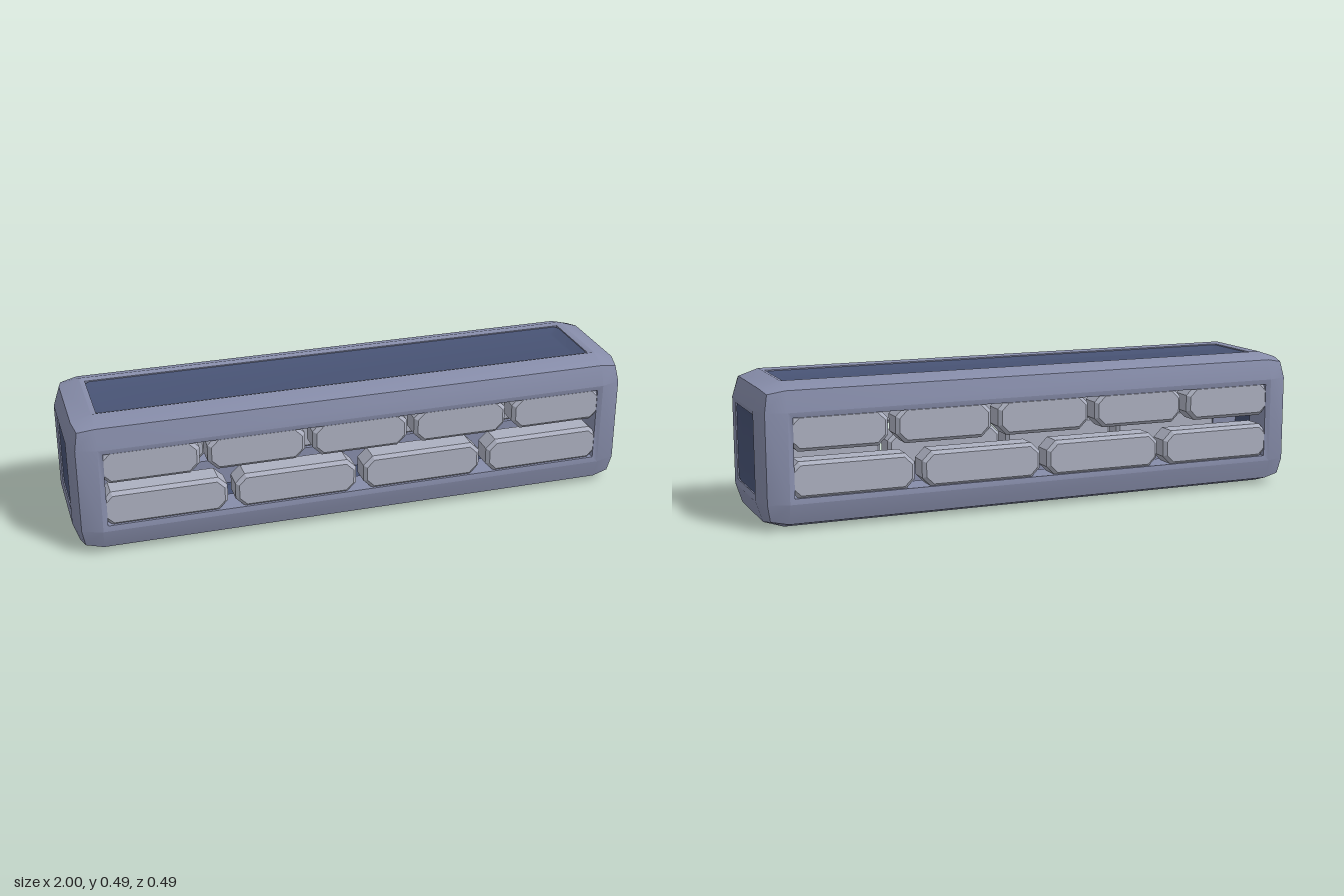
import * as THREE from 'three';
import { toCreasedNormals } from 'three/addons/utils/BufferGeometryUtils.js';

const HALF = [1, 0.245, 0.245]; // half extents of the block
const RIDGE = 0.093, EDGE = 0.023, CORNER = 0.034, OPENING = 0.111;
const LIP = 0.006; // depth of the window edge below the frame's crest

const frameMat = new THREE.MeshStandardMaterial({ color: 0x868ca9 });
frameMat.name = 'blue grey frame';
const panelMat = new THREE.MeshStandardMaterial({ color: 0x475273, side: THREE.DoubleSide });
panelMat.name = 'dark slate panel';
const brickMat = new THREE.MeshStandardMaterial({ color: 0xabafbf });
brickMat.name = 'pale grey brick';

// Collects polygons and turns each one towards a given direction
function makeSurface() {
  const pos = [];
  return {
    add(points, facing) {
      const [a, b, c] = points;
      const n = b.clone().sub(a).cross(c.clone().sub(a));
      const p = n.dot(facing) < 0 ? [...points].reverse() : points;
      for (let i = 1; i < p.length - 1; i++)
        for (const v of [p[0], p[i], p[i + 1]]) pos.push(v.x, v.y, v.z);
    },
    build(crease) {
      const g = new THREE.BufferGeometry();
      g.setAttribute('position', new THREE.Float32BufferAttribute(pos, 3));
      return toCreasedNormals(g, crease);
    },
  };
}

// Point on one side of the block: insets from the half extents along u, v and the side's axis
function sidePoint(axis, sign, su, sv, iu, iv, depth) {
  const u = (axis + 1) % 3, v = (axis + 2) % 3, p = [0, 0, 0];
  p[axis] = sign * (HALF[axis] - depth);
  p[u] = su * (HALF[u] - iu);
  p[v] = sv * (HALF[v] - iv);
  return new THREE.Vector3(...p);
}

function direction(axis, sign) {
  return new THREE.Vector3().setComponent(axis, sign);
}

// Softly bevelled open frame with a window in all six sides
function frameGeometry() {
  const s = makeSurface();
  for (let axis = 0; axis < 3; axis++) for (const sign of [1, -1]) {
    const out = direction(axis, sign), u = (axis + 1) % 3, v = (axis + 2) % 3;
    const P = (su, sv, iu, iv, d) => sidePoint(axis, sign, su, sv, iu, iv, d);
    // Corner patches
    for (const su of [1, -1]) for (const sv of [1, -1]) {
      s.add([P(su, sv, RIDGE, RIDGE, 0), P(su, sv, EDGE, RIDGE, EDGE),
        P(su, sv, CORNER, CORNER, CORNER), P(su, sv, RIDGE, EDGE, EDGE)], out);
    }
    // Outer slope, inner slope and window wall along each of the four beams
    for (const t of [1, -1]) for (const alongU of [true, false]) {
      const strip = (i0, j0, d0, i1, j1, d1, facing) => {
        const Q = (e, across, along, d) => alongU
          ? P(e, t, along, across, d) : P(t, e, across, along, d);
        s.add([Q(1, i0, j0, d0), Q(-1, i0, j0, d0), Q(-1, i1, j1, d1), Q(1, i1, j1, d1)], facing);
      };
      strip(EDGE, RIDGE, EDGE, RIDGE, RIDGE, 0, out);
      strip(RIDGE, RIDGE, 0, OPENING, OPENING, LIP, out);
      strip(OPENING, OPENING, LIP, OPENING, OPENING, OPENING, direction(alongU ? v : u, -t));
    }
  }
  return s.build(0.6);
}

// Very shallow dished panel with clipped corners, almost flush with its window
function panelGeometry(axis, sign) {
  const s = makeSurface(), out = direction(axis, sign);
  const loop = (inset, clip, depth) => {
    const pts = [];
    for (const [su, sv] of [[1, 1], [-1, 1], [-1, -1], [1, -1]]) {
      const a = sidePoint(axis, sign, su, sv, inset, inset + clip, depth);
      const b = sidePoint(axis, sign, su, sv, inset + clip, inset, depth);
      pts.push(...(su * sv > 0 ? [a, b] : [b, a]));
    }
    return pts;
  };
  const rim = loop(OPENING, 0.014, 0.01), floor = loop(OPENING + 0.035, 0.008, 0.022);
  for (let i = 0; i < 8; i++) {
    const j = (i + 1) % 8;
    s.add([rim[i], rim[j], floor[j], floor[i]], out);
  }
  s.add(floor, out);
  return s.build(0.8);
}

// Brick with clipped corners and bevelled front and back
function brickGeometry(width, height, depth) {
  const b = 0.012, w = width / 2 - b, h = height / 2 - b, c = 0.026;
  const shape = new THREE.Shape([
    [w - c, -h], [w, -h + c], [w, h - c], [w - c, h],
    [-w + c, h], [-w, h - c], [-w, -h + c], [-w + c, -h],
  ].map(([x, y]) => new THREE.Vector2(x, y)));
  const g = new THREE.ExtrudeGeometry(shape, {
    depth: depth - 2 * b, bevelEnabled: true, bevelSize: b, bevelThickness: b, bevelSegments: 1,
  });
  return g.translate(0, 0, b - depth / 2);
}

export function createModel() {
  const model = new THREE.Group();
  model.name = 'brickWallBlock';
  const body = new THREE.Group();
  body.name = 'body';
  body.position.y = HALF[1];
  model.add(body);

  const add = (name, geometry, material) => {
    const mesh = new THREE.Mesh(geometry, material);
    mesh.name = name;
    body.add(mesh);
    return mesh;
  };

  add('frame', frameGeometry(), frameMat);

  add('leftEndPanel', panelGeometry(0, 1), panelMat);
  add('rightEndPanel', panelGeometry(0, -1), panelMat);
  add('topPanel', panelGeometry(1, 1), panelMat);
  add('bottomPanel', panelGeometry(1, -1), panelMat);

  // Two staggered rows of bricks, set into the front and back windows of the hollow frame
  const rows = [
    { name: 'UpperBrick', count: 5, y: 0.082 },
    { name: 'LowerBrick', count: 4, y: -0.076 },
  ];
  const span = 1.81, gap = 0.027, depth = 0.096, front = 0.237;
  for (const { name, count, y } of rows) {
    const width = (span - gap * (count - 1)) / count;
    const geometry = brickGeometry(width, 0.125, depth);
    for (let i = 0; i < count; i++) {
      const x = -span / 2 + width / 2 + i * (width + gap);
      for (const [side, sign] of [['front', 1], ['back', -1]])
        add(side + name + (i + 1), geometry, brickMat).position.set(x, y, sign * (front - depth / 2));
    }
  }
  return model;
}
